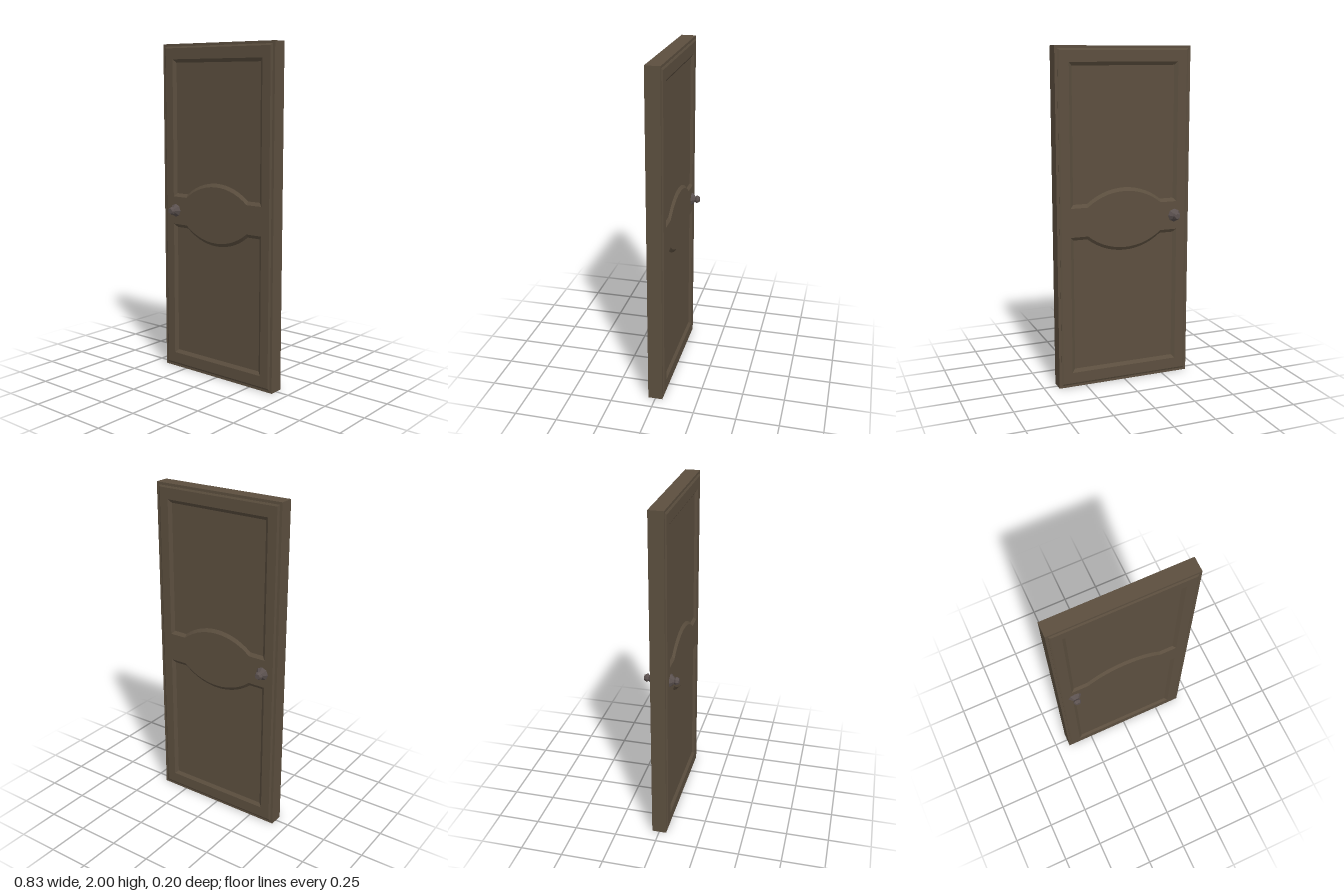
import * as THREE from 'three';

const W = 0.415, FACE_Z = 0.05, RIM_Z = 0.043, FLOOR_Z = 0.036;
const wood = new THREE.MeshStandardMaterial({ color: 0x5c4f3f });
const metal = new THREE.MeshStandardMaterial({ color: 0x5c5250, flatShading: true });

const v2 = (x, y) => new THREE.Vector2(x, y);

// Counter-clockwise door outline, moved inwards by d
const doorOutline = d => [v2(-W + d, d), v2(W - d, d), v2(W - d, 2 - d), v2(-W + d, 2 - d)];

// Counter-clockwise outline of a panel whose edge beside the lock rail is arched
function panelOutline(d, lower) {
  const x = 0.335 - d, top = 1.91 - d, flat = 1.085 + d, half = 0.23, rise = 0.083, steps = 14;
  const r = (half * half + rise * rise) / (2 * rise);
  const pts = [v2(-x, flat)];
  for (let i = 0; i <= steps; i++) {
    const a = Math.asin(half / r) * (2 * i / steps - 1);
    pts.push(v2(r * Math.sin(a), flat + rise - r + r * Math.cos(a)));
  }
  pts.push(v2(x, flat), v2(x, top), v2(-x, top));
  return lower ? pts.map(p => v2(p.x, 2 - p.y)).reverse() : pts;
}

// Flat-faced band between two matching outlines at different depths
function band(a, za, b, zb) {
  const pos = [];
  a.forEach((p, i) => {
    const j = (i + 1) % a.length;
    const p0 = [p.x, p.y, za], p1 = [a[j].x, a[j].y, za];
    const q0 = [b[i].x, b[i].y, zb], q1 = [b[j].x, b[j].y, zb];
    pos.push(...p0, ...p1, ...q1, ...p0, ...q1, ...q0);
  });
  const g = new THREE.BufferGeometry();
  g.setAttribute('position', new THREE.Float32BufferAttribute(pos, 3));
  g.computeVertexNormals();
  return g;
}

function add(parent, name, geometry, material = wood, z = 0) {
  const mesh = new THREE.Mesh(geometry, material);
  mesh.name = name;
  mesh.position.z = z;
  parent.add(mesh);
  return mesh;
}

// One half of the door, with its knob at the given x
function doorSide(name, knobX) {
  const side = new THREE.Group();
  side.name = name;

  // Stepped, bevelled outer edge
  const steps = [[0, 0], [0, RIM_Z], [0.015, RIM_Z], [0.015, 0.045], [0.025, FACE_Z]];
  for (let i = 1; i < steps.length; i++) {
    const [d0, z0] = steps[i - 1], [d1, z1] = steps[i];
    add(side, 'edge' + i, band(doorOutline(d0), z0, doorOutline(d1), z1));
  }

  // Frame face with two panel openings
  const frame = new THREE.Shape(doorOutline(0.025));
  for (const lower of [false, true]) {
    const label = lower ? 'lower' : 'upper';
    const outer = panelOutline(0, lower), inner = panelOutline(0.02, lower);
    frame.holes.push(new THREE.Path(outer));
    add(side, label + 'PanelMoulding', band(outer, FACE_Z, inner, FLOOR_Z));
    add(side, label + 'Panel', new THREE.ShapeGeometry(new THREE.Shape(inner)), wood, FLOOR_Z);
  }
  add(side, 'frameFace', new THREE.ShapeGeometry(frame), wood, FACE_Z);

  // Faceted knob with a conical base
  const profile = [v2(0.04, 0), v2(0.038, 0.003), v2(0.017, 0.023), v2(0.025, 0.033),
    v2(0.023, 0.038), v2(0.016, 0.05), v2(0, 0.05)];
  const knob = add(side, 'knob', new THREE.LatheGeometry(profile, 8), metal, FACE_Z);
  knob.rotation.x = Math.PI / 2;
  knob.position.x = knobX;
  knob.position.y = 1;
  return side;
}

export function createModel() {
  const door = new THREE.Group();
  door.name = 'door';
  const front = doorSide('frontSide', -0.32);
  const back = doorSide('backSide', 0.32);
  back.rotation.y = Math.PI;
  door.add(front, back);
  return door;
}
